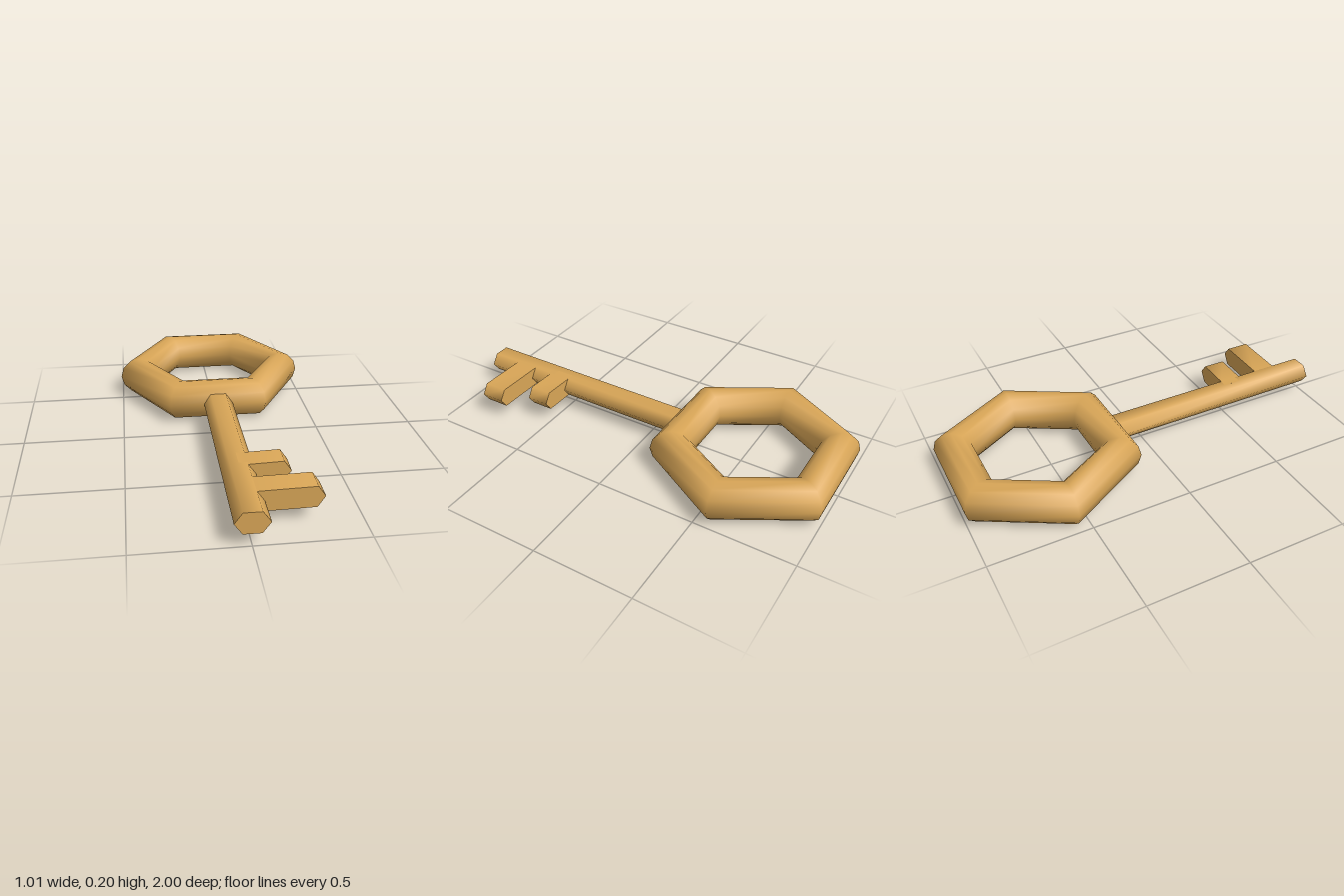
import * as THREE from 'three';
import { toCreasedNormals } from 'three/addons/utils/BufferGeometryUtils.js';

export function createModel() {
  const key = new THREE.Group();
  key.name = 'key';
  const brass = new THREE.MeshStandardMaterial({ color: 0xd9a657 });

  const add = (name, geometry) => {
    const mesh = new THREE.Mesh(geometry, brass);
    mesh.name = name;
    key.add(mesh);
    return mesh;
  };

  // Extrude an x-y profile from z0 to z1, smooth along its sides, sharp at its ends
  const bar = (points, z0, z1) => {
    const shape = new THREE.Shape(points.map(([x, y]) => new THREE.Vector2(x, y)));
    const g = new THREE.ExtrudeGeometry(shape, { depth: z1 - z0, bevelEnabled: false });
    g.translate(0, 0, z0);
    return toCreasedNormals(g, 1.3);
  };

  // Hexagonal bow, round in section
  const ring = new THREE.TorusGeometry(0.404, 0.1015, 12, 6);
  ring.rotateX(Math.PI / 2);
  add('bow', ring).position.set(0, 0.1015, -0.566);

  // Six-sided shaft, rising very slightly to its tip
  const hexagon = [
    [0.076, 0], [0.04, 0.05], [-0.04, 0.05],
    [-0.076, 0], [-0.04, -0.05], [0.04, -0.05],
  ];
  const shaft = add('shaft', bar(hexagon, -0.2, 1));
  shaft.position.y = 0.104;
  shaft.rotation.x = -0.005;

  // Teeth with ridged ends, on the left of the shaft
  const teeth = [
    { name: 'shortTooth', reach: 0.235, z0: 0.51, z1: 0.622 },
    { name: 'longTooth', reach: 0.333, z0: 0.727, z1: 0.846 },
  ];
  for (const { name, reach, z0, z1 } of teeth) {
    const profile = [
      [0, 0.058], [0.04, 0.058], [reach - 0.034, 0.062], [reach, 0.113],
      [reach - 0.034, 0.162], [0.04, 0.157], [0, 0.157],
    ];
    add(name, bar(profile, z0, z1));
  }

  return key;
}
